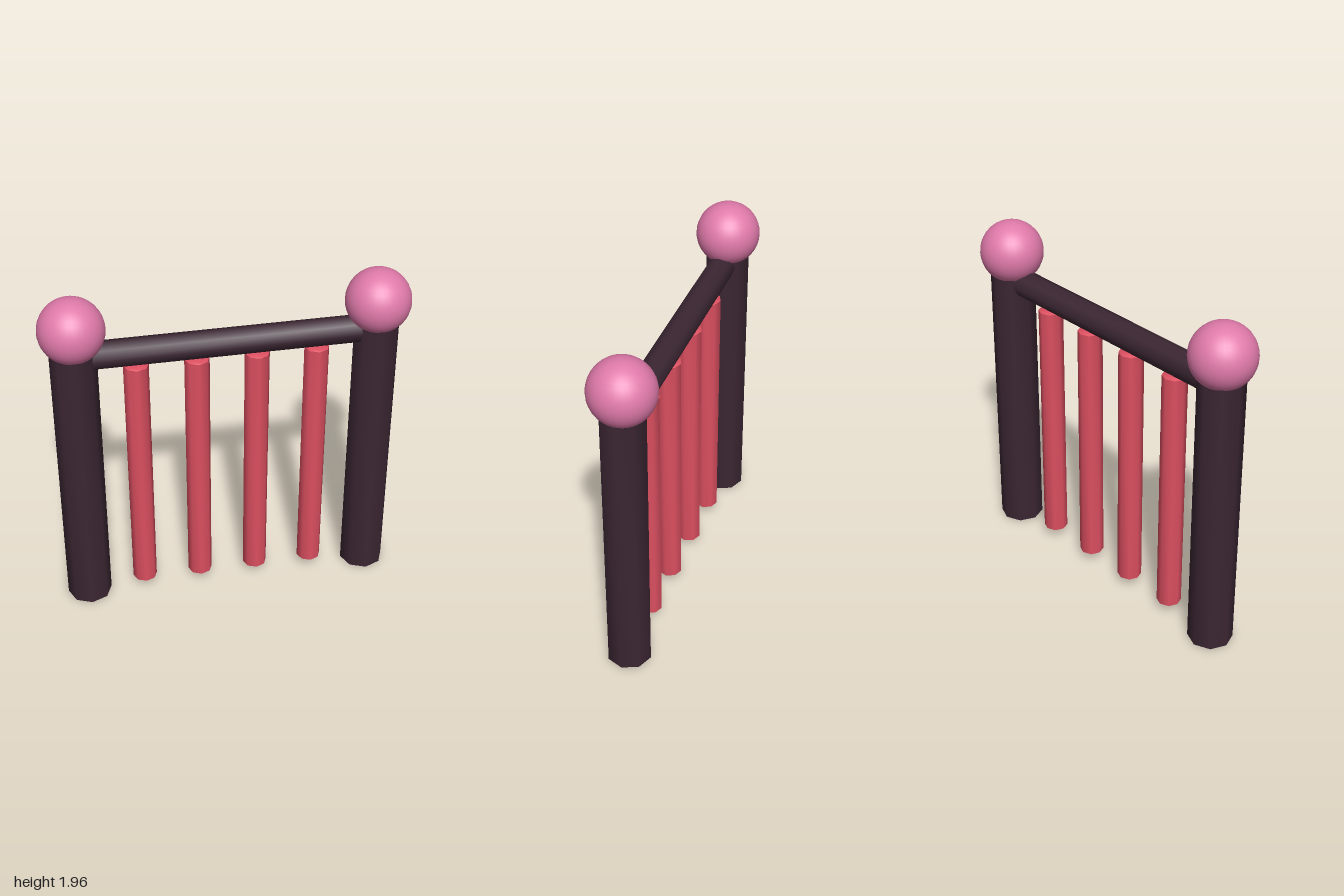
import * as THREE from 'three';
import { toCreasedNormals } from 'three/addons/utils/BufferGeometryUtils.js';

// Eight-sided bar with a small bevel at both ends, centred on its own origin
function barGeometry(radius, length) {
  const h = length / 2;
  const profile = [
    [0, -h], [radius - 0.01, -h], [radius, -h + 0.006],
    [radius, h - 0.006], [radius - 0.01, h], [0, h],
  ].map(([x, y]) => new THREE.Vector2(x, y));
  return toCreasedNormals(new THREE.LatheGeometry(profile, 8), 0.9);
}

export function createModel() {
  const model = new THREE.Group();
  model.name = 'fence';

  const darkWood = new THREE.MeshStandardMaterial({ color: 0x3b2632 });
  darkWood.name = 'dark plum';
  const red = new THREE.MeshStandardMaterial({ color: 0xdc4f60 });
  red.name = 'coral red';
  const pink = new THREE.MeshStandardMaterial({ color: 0xe07aaa });
  pink.name = 'pink';

  const add = (name, geometry, material, x, y) => {
    const mesh = new THREE.Mesh(geometry, material);
    mesh.name = name;
    mesh.position.set(x, y, 0);
    model.add(mesh);
    return mesh;
  };

  // Posts with ball finials
  const post = barGeometry(0.126, 1.66);
  const ball = new THREE.SphereGeometry(0.179, 32, 20);
  for (const [side, x] of [['left', 0.82], ['right', -0.82]]) {
    add(`${side}Post`, post, darkWood, x, 0.83);
    add(`${side}Ball`, ball, pink, x, 1.781);
  }

  // Top rail, running into both posts
  add('topRail', barGeometry(0.077, 1.6), darkWood, 0, 1.617).rotation.z = Math.PI / 2;

  // Hanging bars
  const bar = barGeometry(0.069, 1.478);
  for (let i = 0; i < 4; i++) add(`bar${i + 1}`, bar, red, (i - 1.5) * 0.328, 0.799);

  return model;
}
